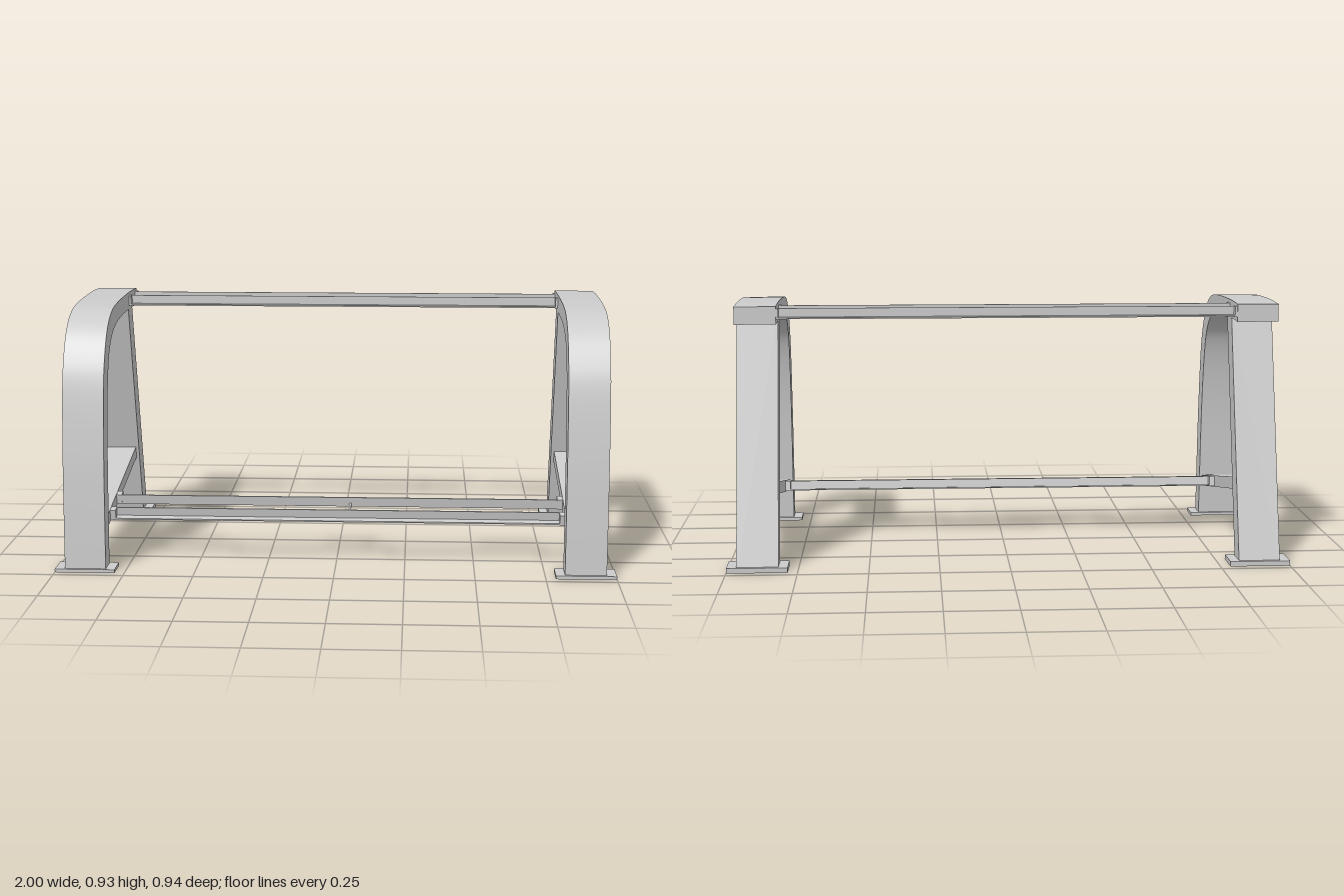
import * as THREE from 'three';
import { toCreasedNormals } from 'three/addons/utils/BufferGeometryUtils.js';

const material = new THREE.MeshStandardMaterial({ color: 0xcccccc });
const WALL = 0.006;
const X0 = 0.818, X1 = 0.965; // inner and outer face of each end frame

const vecs = (list) => list.map(([a, b]) => new THREE.Vector2(a, b));
const curve = (list, n) => new THREE.SplineCurve(vecs(list)).getPoints(n);

function add(parent, geometry, name) {
  const mesh = new THREE.Mesh(geometry, material);
  mesh.name = name;
  parent.add(mesh);
  return mesh;
}

function box(parent, name, w, h, d, x, y, z) {
  const mesh = add(parent, new THREE.BoxGeometry(w, h, d), name);
  mesh.position.set(x, y, z);
  return mesh;
}

// Extrude a (z, y) outline sideways from x = a to x = b
function slab(parent, name, points, a, b) {
  const geometry = new THREE.ExtrudeGeometry(new THREE.Shape(points), { depth: b - a, bevelEnabled: false });
  geometry.rotateY(-Math.PI / 2).translate(b, 0, 0);
  return add(parent, toCreasedNormals(geometry, 0.5), name);
}

// Rectangular tube: two side walls and a core slotted open at the foot
function tube(parent, name, outline, core) {
  const group = new THREE.Group();
  group.name = name;
  slab(group, 'innerSideWall', outline, X0, X0 + WALL);
  slab(group, 'core', core, X0 + WALL, X1 - WALL);
  slab(group, 'outerSideWall', outline, X1 - WALL, X1);
  parent.add(group);
}

// Flat foot plate with a rectangular opening under the tube
function foot(parent, name, z0, z1, h, hole0, hole1) {
  const rect = (Type, xa, xb, za, zb) => new Type(vecs([[xa, -za], [xb, -za], [xb, -zb], [xa, -zb]]));
  const shape = rect(THREE.Shape, 0.785, 1, z0, z1);
  shape.holes.push(rect(THREE.Path, X0 + WALL, X1 - WALL, hole0, hole1));
  const geometry = new THREE.ExtrudeGeometry(shape, { depth: h, bevelEnabled: false });
  add(parent, geometry.rotateX(-Math.PI / 2), name);
}

function endFrame() {
  const frame = new THREE.Group();

  // Front leg bending over into the top arm
  const outer = curve([[0.459, 0.01], [0.45, 0.21], [0.436, 0.42], [0.406, 0.65], [0.368, 0.763], [0.305, 0.851],
    [0.217, 0.902], [0.09, 0.922], [-0.16, 0.929], [-0.333, 0.924]], 60);
  const inner = curve([[-0.333, 0.861], [-0.16, 0.866], [0.015, 0.861], [0.116, 0.85], [0.204, 0.824], [0.267, 0.776],
    [0.305, 0.708], [0.337, 0.587], [0.36, 0.42], [0.375, 0.2], [0.385, 0.01]], 60);
  const archSlot = vecs([[0.391, 0.01], [0.381, 0.2], [0.444, 0.2], [0.453, 0.01]]);
  tube(frame, 'archedFrontLeg', [...outer, ...inner], [...outer, ...inner, ...archSlot]);

  // Sloping back leg
  const back = vecs([[-0.139, 0.867], [-0.224, 0.867], [-0.459, 0.012], [-0.375, 0.012]]);
  const backSlot = vecs([[-0.453, 0.012], [-0.401, 0.2], [-0.332, 0.2], [-0.381, 0.012]]);
  tube(frame, 'backLeg', back, [...back.slice(0, 3), ...backSlot, back[3]]);

  // Sloping side brace between the legs
  slab(frame, 'sideBrace', vecs([[0.379, 0.123], [0.377, 0.167], [-0.301, 0.292], [-0.312, 0.249]]), 0.83, 0.95);

  foot(frame, 'frontFoot', 0.375, 0.47, 0.012, 0.391, 0.453);
  foot(frame, 'backFoot', -0.47, -0.361, 0.018, -0.453, -0.381);
  return frame;
}

// Pair of angle rails with end plates and a thin cross tie
function railPair(name, y, z, tilt, tieX) {
  const group = new THREE.Group();
  group.name = name;
  for (const s of [-1, 1]) {
    box(group, 'railFlange', 1.63, 0.005, 0.032, 0, -0.0155, s * 0.069);
    box(group, 'railWeb', 1.63, 0.036, 0.005, 0, 0, s * 0.0555);
    for (const e of [-1, 1]) {
      box(group, 'railEndPlate', 0.03, 0.038, 0.034, e * 0.825, 0, s * 0.069);
    }
  }
  box(group, 'crossTie', 0.008, 0.012, 0.108, tieX, -0.01, 0);
  group.position.set(0, y, z);
  group.rotation.x = tilt;
  return group;
}

export function createModel() {
  const model = new THREE.Group();
  model.name = 'rack';

  const left = endFrame();
  left.name = 'leftEndFrame';
  const right = endFrame();
  right.name = 'rightEndFrame';
  right.scale.x = -1;
  model.add(left, right);

  model.add(railPair('upperRails', 0.897, -0.243, 0, 0));
  model.add(railPair('lowerRails', 0.179, 0.195, 0.181, 0.045));
  return model;
}
